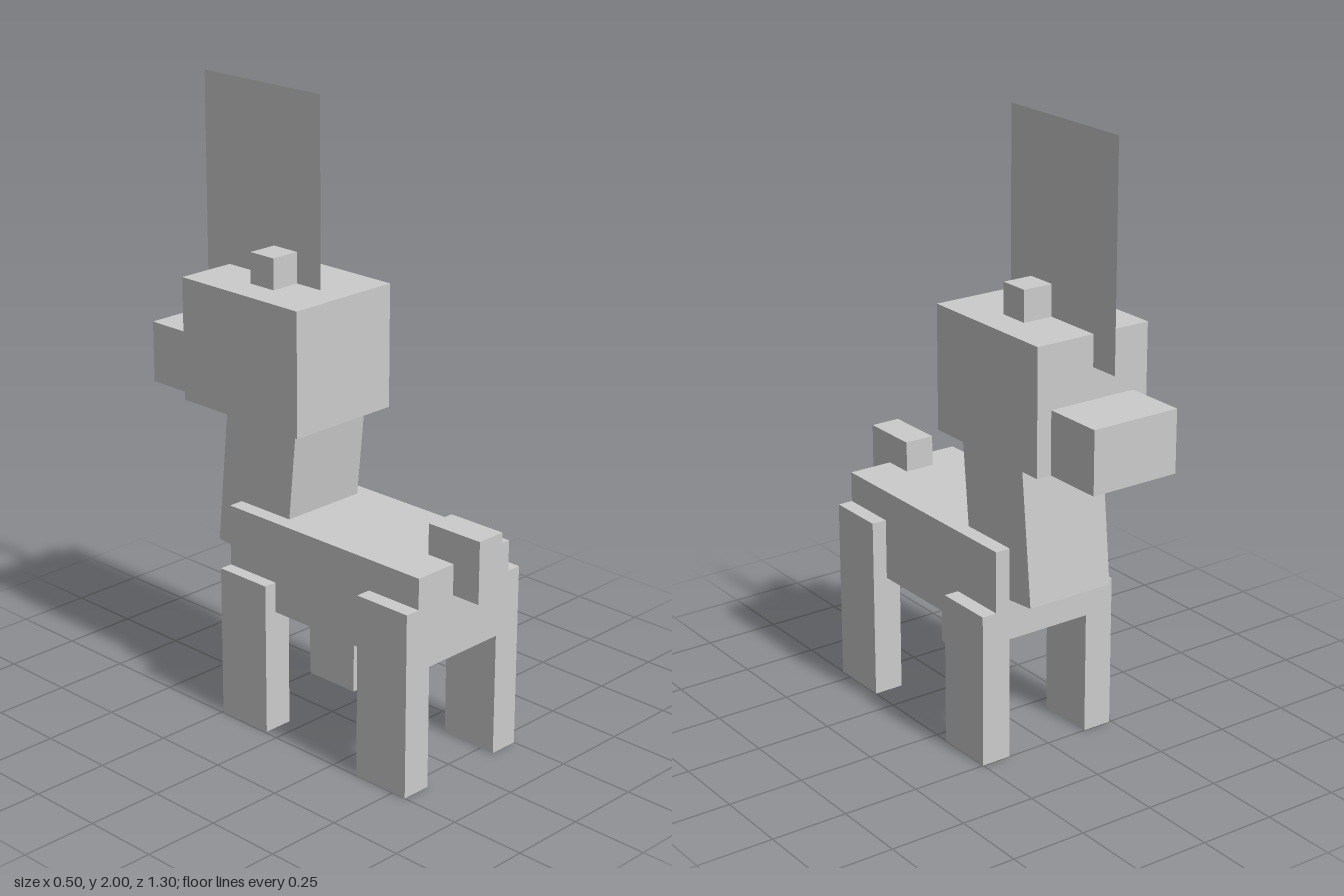
import * as THREE from 'three';

export function createModel() {
  const model = new THREE.Group();
  const grey = new THREE.MeshStandardMaterial({ color: 0xcccccc, flatShading: true });
  const thin = new THREE.MeshStandardMaterial({ color: 0xcccccc, flatShading: true, side: THREE.DoubleSide });

  // Box given by its centre and size
  function box(name, [x, y, z], [w, h, d]) {
    const mesh = new THREE.Mesh(new THREE.BoxGeometry(w, h, d), grey);
    mesh.name = name;
    mesh.position.set(x, y, z);
    model.add(mesh);
    return mesh;
  }

  // Trunk and tail (the animal looks towards -z)
  box('body', [0, 0.55, 0.15], [0.4, 0.3, 0.8]);
  box('tail', [0, 0.7, 0.55], [0.1, 0.2, 0.2]);

  // Legs: the pair under the neck is shorter and one stands slightly inward
  for (const side of [-1, 1]) {
    box('tailEndLeg', [side * 0.2, 0.3, 0.45], [0.1, 0.6, 0.2]);
    box('headEndLeg', [side < 0 ? -0.193 : 0.2, 0.25, -0.15], [0.1, 0.5, 0.2]);
  }

  // Leaning neck, head, muzzle and ear block
  box('neck', [0, 0.8, -0.178], [0.3, 0.55, 0.3]).rotation.x = 0.1;
  box('head', [0, 1.2, -0.2], [0.4, 0.4, 0.5]);
  box('muzzle', [0, 1.1, -0.55], [0.3, 0.2, 0.2]);
  box('ears', [0, 1.45, -0.2], [0.2, 0.1, 0.1]);

  // Thin upright crest along the middle of the head
  const crest = new THREE.Mesh(new THREE.PlaneGeometry(0.5, 0.7), thin);
  crest.name = 'crest';
  crest.rotation.y = Math.PI / 2;
  crest.position.set(0, 1.65, -0.3);
  model.add(crest);

  return model;
}
